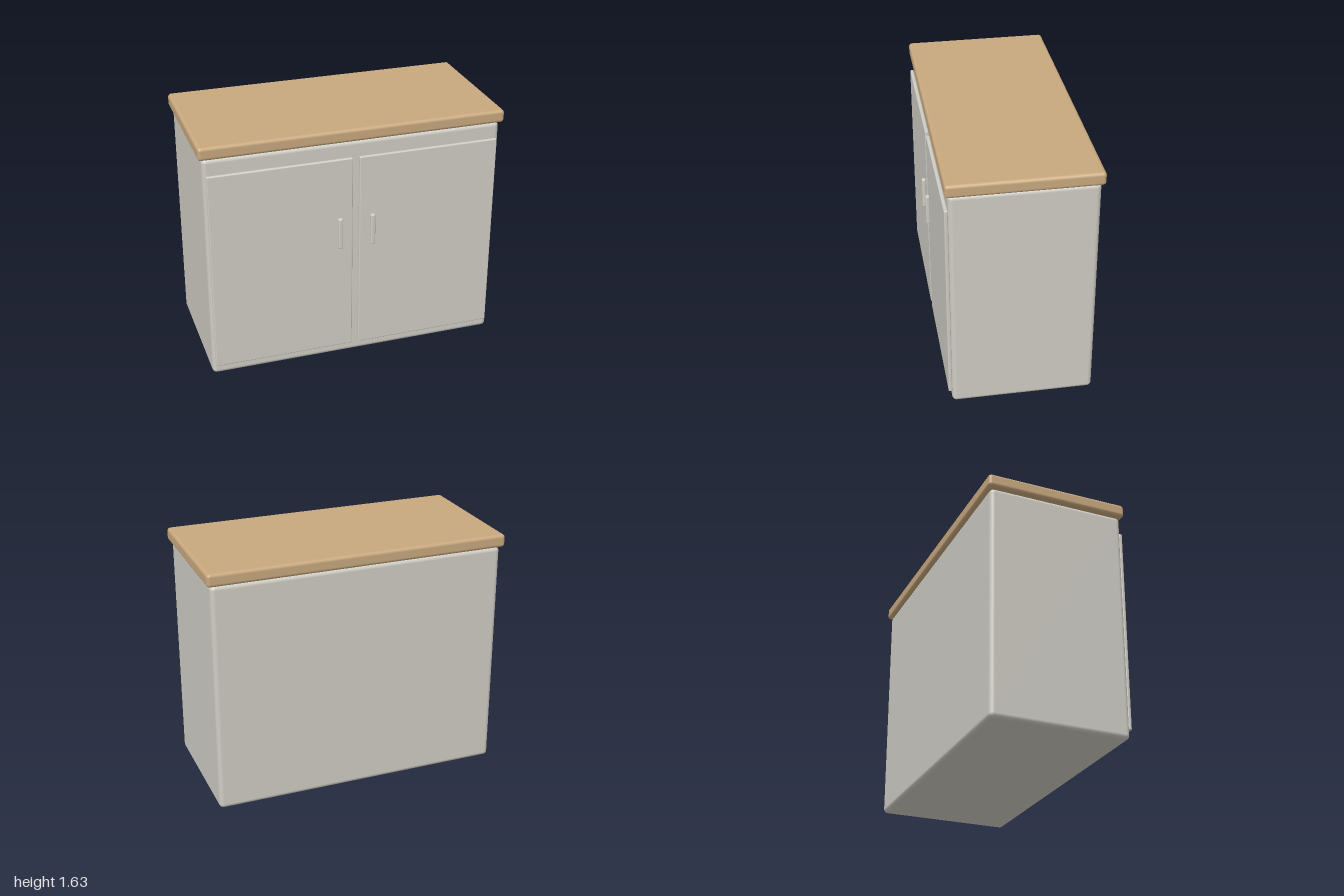
import * as THREE from 'three';
import { RoundedBoxGeometry } from 'three/addons/geometries/RoundedBoxGeometry.js';

const paint = new THREE.MeshStandardMaterial({ color: 0xcfccc4 });
paint.name = 'warm grey paint';
const wood = new THREE.MeshStandardMaterial({ color: 0xc8a87e });
wood.name = 'light wood';

// Rounded box given by its lower and upper corners
function block(name, material, min, max, radius) {
  const size = max.map((v, i) => v - min[i]);
  const mesh = new THREE.Mesh(new RoundedBoxGeometry(...size, 4, radius), material);
  mesh.position.set(...max.map((v, i) => (v + min[i]) / 2));
  mesh.name = name;
  return mesh;
}

export function createModel() {
  const cabinet = new THREE.Group();
  cabinet.name = 'cabinet';

  // Carcass and overhanging worktop
  cabinet.add(
    block('carcass', paint, [-0.975, 0, -0.47], [0.975, 1.547, 0.443], 0.03),
    block('worktop', wood, [-1, 1.547, -0.49], [1, 1.633, 0.463], 0.022)
  );

  // Pair of doors with upright handles near the middle
  for (const [side, s] of [['left', 1], ['right', -1]]) {
    const door = new THREE.Group();
    door.name = side + 'Door';
    const panel = block('doorPanel', paint, [-0.467, 0.07, 0.441], [0.467, 1.44, 0.465], 0.008);
    panel.position.x = s * 0.489;
    const handle = block('handle', paint, [-0.016, 0.82, 0.462], [0.016, 1.035, 0.49], 0.01);
    handle.position.x = s * 0.109;
    door.add(panel, handle);
    cabinet.add(door);
  }
  return cabinet;
}
